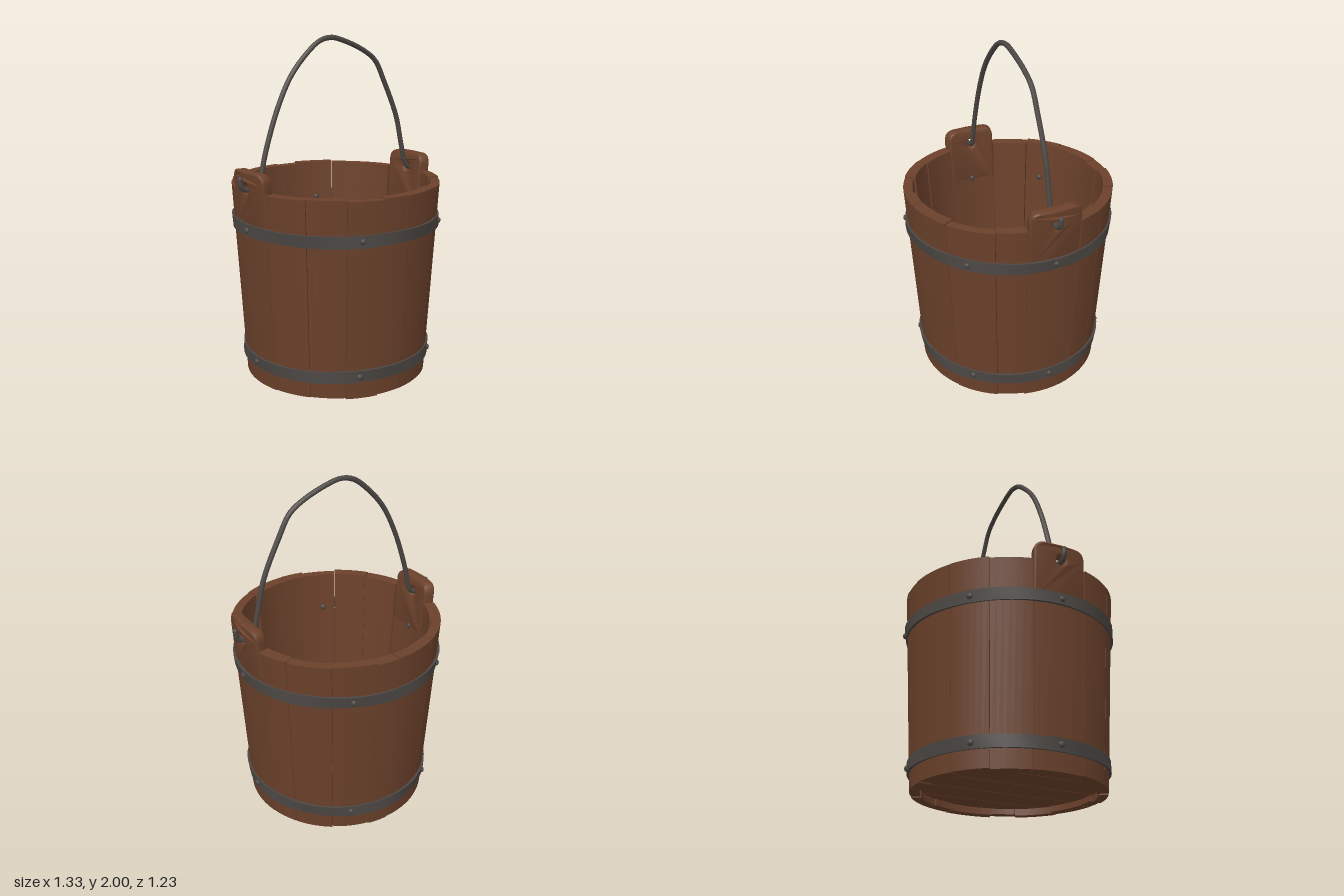
import * as THREE from 'three';
import { toCreasedNormals } from 'three/addons/utils/BufferGeometryUtils.js';

const wood = new THREE.MeshStandardMaterial({ color: 0x6b412b });
const iron = new THREE.MeshStandardMaterial({ color: 0x4c4744 });
wood.name = 'brown wood';
iron.name = 'dark iron';

const RIM = 1.16, WALL = 0.062;
const outerRadius = (y) => 0.546 + 0.06 * y;
const rad = THREE.MathUtils.degToRad;

function add(parent, name, geometry, material) {
  const mesh = new THREE.Mesh(geometry, material);
  mesh.name = name;
  parent.add(mesh);
  return mesh;
}

// Moves every vertex by a rule
function warp(geometry, rule) {
  const p = geometry.attributes.position;
  const v = new THREE.Vector3();
  for (let i = 0; i < p.count; i++) {
    rule(v.fromBufferAttribute(p, i));
    p.setXYZ(i, v.x, v.y, v.z);
  }
  return geometry;
}

// Places a point at an angle from +z towards +x
const polar = (v, angle, y, r) => v.set(r * Math.sin(angle), y, r * Math.cos(angle));

// A curved, tapering plank of the wall
function staveGeometry(a0, a1, y0, y1, thickness) {
  const geo = new THREE.BoxGeometry(1, 1, 1, 6, 1, 1);
  warp(geo, (v) => {
    const y = y0 + (v.y + 0.5) * (y1 - y0);
    const a = a0 + 0.003 + (v.x + 0.5) * (a1 - a0 - 0.006);
    polar(v, a, y, outerRadius(y) - (0.5 - v.z) * thickness);
  });
  geo.computeVertexNormals();
  return geo;
}

// Rounded, pierced top of a side stave, bent to the wall
function earGeometry(angle) {
  const w = 0.164, top = 1.27, c = 0.065, bottom = 0.925;
  const s = new THREE.Shape();
  s.moveTo(-w, bottom);
  s.lineTo(-w / 2, bottom);
  s.lineTo(0, bottom);
  s.lineTo(w / 2, bottom);
  s.lineTo(w, bottom);
  s.lineTo(w, top - c);
  s.quadraticCurveTo(w, top, w - c, top);
  s.lineTo(0, top);
  s.lineTo(c - w, top);
  s.quadraticCurveTo(-w, top, -w, top - c);
  s.closePath();
  const hole = new THREE.Path();
  hole.absarc(0, 1.175, 0.03, 0, Math.PI * 2, true);
  s.holes.push(hole);
  const bevel = 0.012;
  const geo = new THREE.ExtrudeGeometry(s, {
    depth: 0.066 - 2 * bevel, bevelThickness: bevel, bevelSize: bevel,
    bevelOffset: -bevel, bevelSegments: 3, curveSegments: 8,
  });
  warp(geo, (v) => polar(v, angle + v.x / 0.615, v.y, outerRadius(v.y) - 0.066 + bevel + v.z));
  return toCreasedNormals(geo, 0.6);
}

// Slightly uneven iron band
function hoopGeometry(y, phase) {
  const h = 0.035, r = outerRadius(y), slope = 0.06 * h;
  const profile = [
    [r - slope - 0.006, -h], [r - slope + 0.012, -h],
    [r + slope + 0.012, h], [r + slope - 0.006, h], [r - slope - 0.006, -h],
  ].map(([x, py]) => new THREE.Vector2(x, py));
  const geo = new THREE.LatheGeometry(profile, 60);
  warp(geo, (v) => {
    const a = Math.atan2(v.x, v.z);
    const twist = 1 + 0.006 * Math.sin(5 * a + phase) * Math.sign(v.y);
    v.set(v.x * twist, v.y + y + 0.003 * Math.sin(3 * a + phase), v.z * twist);
  });
  return toCreasedNormals(geo, 0.6);
}

// Floor plank cut from a disc
function floorPlank(x0, x1) {
  const R = 0.5, n = 10, points = [];
  for (const side of [-1, 1]) {
    for (let i = 0; i <= n; i++) {
      const t = side < 0 ? i / n : 1 - i / n;
      const x = x0 + 0.002 + (x1 - x0 - 0.004) * t;
      points.push(new THREE.Vector2(x, side * Math.sqrt(Math.max(0, R * R - x * x))));
    }
  }
  const geo = new THREE.ExtrudeGeometry(new THREE.Shape(points), { depth: 0.05, bevelEnabled: false });
  return geo.rotateX(-Math.PI / 2).translate(0, 0.04, 0);
}

export function createModel() {
  const bucket = new THREE.Group();
  bucket.name = 'bucket';

  // Wall staves: seams in degrees, front run then back run
  const staves = new THREE.Group();
  staves.name = 'staves';
  bucket.add(staves);
  const runs = [
    [-74.5, -51, -30, -10, 4, 31, 58, 74.5],
    [105.5, 123, 147, 170, 183, 210, 232, 254.5],
  ];
  runs.forEach((seams, run) => {
    for (let i = 0; i < seams.length - 1; i++) {
      const k = i + run * 7;
      const jitter = 0.005 * Math.sin(k * 2.3);
      const thickness = WALL + 0.009 * Math.sin(k * 1.9 + 1);
      add(staves, 'stave', staveGeometry(rad(seams[i]), rad(seams[i + 1]),
        0.004 + jitter * 0.8, RIM + jitter, thickness), wood);
    }
  });

  // Side staves with pierced ears
  for (const angle of [Math.PI / 2, -Math.PI / 2]) {
    add(staves, 'sideStave', staveGeometry(angle - rad(15.5), angle + rad(15.5), 0, 0.935, 0.066), wood);
    add(staves, 'handleEar', earGeometry(angle), wood);
  }

  // Planked floor with its iron rim
  const edges = [-0.5, -0.31, -0.1, 0.108, 0.315, 0.5];
  for (let i = 0; i < 5; i++) add(bucket, 'floorPlank', floorPlank(edges[i], edges[i + 1]), wood);
  const rim = add(bucket, 'floorRing', new THREE.TorusGeometry(0.487, 0.006, 6, 60), iron);
  rim.rotation.x = Math.PI / 2;
  rim.position.y = 0.092;

  // Hoops, riveted through the wall
  [[0.935, 0.5], [0.137, 2.2]].forEach(([y, phase]) => {
    add(bucket, 'hoop', hoopGeometry(y, phase), iron);
    for (const deg of [-22, 43, 90, 158, 222, 270]) {
      for (const r of [outerRadius(y) + 0.012, outerRadius(y) - WALL - 0.003]) {
        const rivet = add(bucket, 'rivet', new THREE.SphereGeometry(0.018, 10, 8), iron);
        polar(rivet.position, rad(deg), y, r);
        rivet.rotation.y = rad(deg);
        rivet.scale.z = 0.75;
      }
    }
  });

  // Bent wire handle with hooked ends
  const path = [
    [-0.648, 1.23], [-0.645, 1.19], [-0.62, 1.168], [-0.575, 1.168], [-0.532, 1.185],
    [-0.51, 1.25], [-0.48, 1.37], [-0.4, 1.6], [-0.31, 1.775], [-0.2, 1.9], [-0.11, 1.968],
    [-0.03, 1.985], [0.06, 1.965], [0.2, 1.908], [0.29, 1.845], [0.36, 1.72], [0.46, 1.5],
    [0.505, 1.32], [0.54, 1.2], [0.575, 1.168], [0.62, 1.166], [0.645, 1.19], [0.648, 1.23],
  ].map(([x, y]) => new THREE.Vector3(x, y, 0));
  const handle = new THREE.Group();
  handle.name = 'handle';
  bucket.add(handle);
  add(handle, 'handleWire', new THREE.TubeGeometry(new THREE.CatmullRomCurve3(path), 120, 0.015, 8), iron);
  for (const end of [path[0], path[path.length - 1]]) {
    add(handle, 'handleTip', new THREE.SphereGeometry(0.015, 8, 6), iron).position.copy(end);
  }

  return bucket;
}
